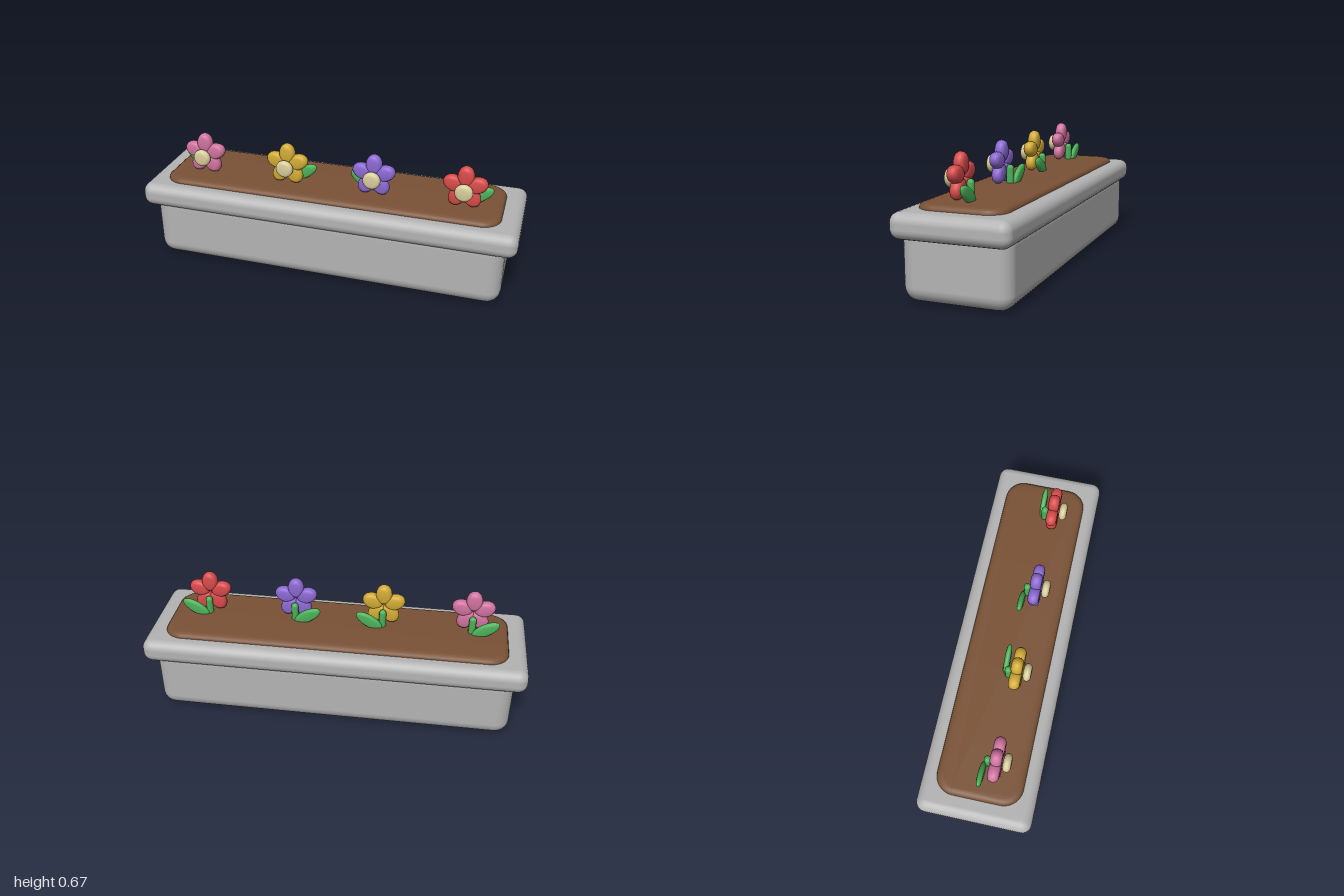
import * as THREE from 'three';
import { RoundedBoxGeometry } from 'three/addons/geometries/RoundedBoxGeometry.js';
import { toCreasedNormals } from 'three/addons/utils/BufferGeometryUtils.js';

function material(name, color) {
  const m = new THREE.MeshStandardMaterial({ color });
  m.name = name;
  return m;
}

function addMesh(parent, name, geometry, mat, x = 0, y = 0, z = 0) {
  const mesh = new THREE.Mesh(geometry, mat);
  mesh.name = name;
  mesh.position.set(x, y, z);
  parent.add(mesh);
  return mesh;
}

// Flat-faced disc with a rounded rim, facing z
function pebble(rx, ry, halfDepth) {
  const profile = [[0, -1], [0.6, -1], [0.85, -0.75], [0.97, -0.38], [1, 0], [0.97, 0.38], [0.85, 0.75], [0.6, 1], [0, 1]]
    .map(([r, h]) => new THREE.Vector2(r, h));
  return new THREE.LatheGeometry(profile, 20).rotateX(Math.PI / 2).scale(rx, ry, halfDepth);
}

// Rounded slab of soil, softened along its upper edge
function soilGeometry(w, d, r, bevel, depth) {
  const x = w / 2 - bevel, y = d / 2 - bevel, c = r - bevel;
  const s = new THREE.Shape();
  s.moveTo(-x + c, -y);
  s.lineTo(x - c, -y).absarc(x - c, -y + c, c, -Math.PI / 2, 0);
  s.lineTo(x, y - c).absarc(x - c, y - c, c, 0, Math.PI / 2);
  s.lineTo(-x + c, y).absarc(-x + c, y - c, c, Math.PI / 2, Math.PI);
  s.lineTo(-x, -y + c).absarc(-x + c, -y + c, c, Math.PI, Math.PI * 1.5);
  const geo = new THREE.ExtrudeGeometry(s, {
    depth, bevelEnabled: true, bevelSize: bevel, bevelThickness: 0.022, bevelSegments: 3, curveSegments: 6,
  });
  return toCreasedNormals(geo.rotateX(-Math.PI / 2), 0.7);
}

export function createModel() {
  const model = new THREE.Group();
  model.name = 'flowerPlanter';

  const stone = material('stone grey', 0xb4b4b4);
  const earth = material('soil brown', 0x7a5236);
  const cream = material('cream', 0xd9cd9c);
  const green = material('leaf green', 0x4cb259);

  // Trough, rim and soil
  addMesh(model, 'trough', new RoundedBoxGeometry(1.88, 0.37, 0.542, 3, 0.075), stone, 0, 0.185, 0);
  addMesh(model, 'rim', new RoundedBoxGeometry(2, 0.127, 0.588, 3, 0.05), stone, 0, 0.365, 0);
  addMesh(model, 'soil', soilGeometry(1.8, 0.44, 0.1, 0.03, 0.03), earth, 0, 0.401, 0);

  // Shared flower parts
  const petalGeo = pebble(0.043, 0.056, 0.029).translate(0, 0.061, 0);
  const heartGeo = pebble(0.047, 0.047, 0.0205);
  const stemGeo = new THREE.CapsuleGeometry(0.019, 0.1, 4, 10);
  const leafGeo = pebble(0.08, 0.034, 0.0145);

  // Flowers in a row, leaves alternating sides
  const flowers = [
    ['pink', 0xd0729f, -1],
    ['yellow', 0xd2aa34, 1],
    ['purple', 0x8b68d2, -1],
    ['red', 0xd84a4a, 1],
  ];
  flowers.forEach(([name, color, side], i) => {
    const flower = new THREE.Group();
    flower.name = name + 'Flower';
    flower.position.x = -0.708 + i * 0.47;
    model.add(flower);

    const petalMat = material(name + ' petal', color);
    for (let k = 0; k < 5; k++) {
      addMesh(flower, 'petal', petalGeo, petalMat, 0, 0.555, 0.066).rotation.z = k * Math.PI * 2 / 5;
    }
    addMesh(flower, 'flowerHeart', heartGeo, cream, 0, 0.549, 0.1185);
    addMesh(flower, 'stem', stemGeo, green, 0, 0.479, 0.019);
    addMesh(flower, 'leaf', leafGeo, green, side * 0.07, 0.486, 0).rotation.z = side * 0.55;
  });

  return model;
}
